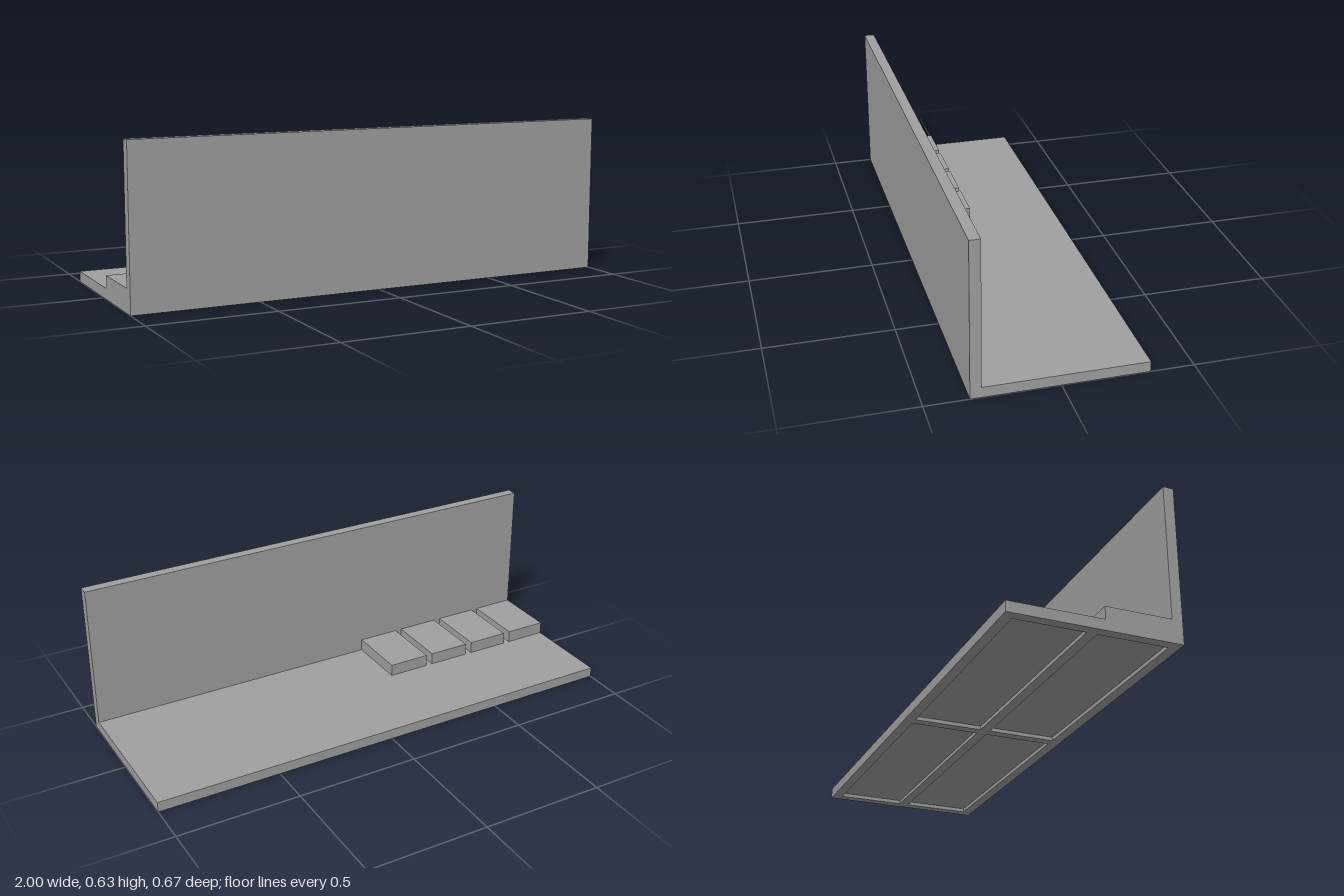
import * as THREE from 'three';

const H = 0.628, T = 0.042, D = 0.333, RECESS = 0.015;

const rectangle = (target, x0, y0, x1, y1) => {
  target.moveTo(x0, y0);
  target.lineTo(x1, y0);
  target.lineTo(x1, y1);
  target.lineTo(x0, y1);
  target.closePath();
  return target;
};

export function createModel() {
  const group = new THREE.Group();
  const grey = new THREE.MeshStandardMaterial({ color: 0xa0a0a0 });
  grey.name = 'grey';

  const add = (name, geometry, x = 0, y = 0, z = 0) => {
    const mesh = new THREE.Mesh(geometry, grey);
    mesh.name = name;
    mesh.position.set(x, y, z);
    group.add(mesh);
    return mesh;
  };

  // L-shaped floor and wall, extruded along x (profile x becomes -z)
  const profile = new THREE.Shape([
    [-D, RECESS], [D, RECESS], [D, T], [-D + T, T], [-D + T, H], [-D, H],
  ].map(([x, y]) => new THREE.Vector2(x, y)));
  const body = new THREE.ExtrudeGeometry(profile, { depth: 2, bevelEnabled: false });
  body.translate(0, 0, -1).rotateY(Math.PI / 2);
  add('floorAndWall', body);

  // Frame under the floor with four shallow recesses
  const frame = rectangle(new THREE.Shape(), -1, -D, 1, D);
  for (const x of [-0.96, 0.02]) {
    for (const z of [-D + 0.04, 0.02]) {
      frame.holes.push(rectangle(new THREE.Path(), x, z, x + 0.94, z + D - 0.06));
    }
  }
  const frameGeometry = new THREE.ExtrudeGeometry(frame, { depth: RECESS, bevelEnabled: false });
  frameGeometry.rotateX(-Math.PI / 2);
  add('undersideFrame', frameGeometry);

  // Row of low blocks against the wall
  const block = new THREE.BoxGeometry(0.174, 0.05, 0.259);
  for (let i = 0; i < 4; i++) {
    add(`block${i + 1}`, block, -0.913 + i * 0.203, T + 0.025, 0.1625);
  }
  return group;
}
